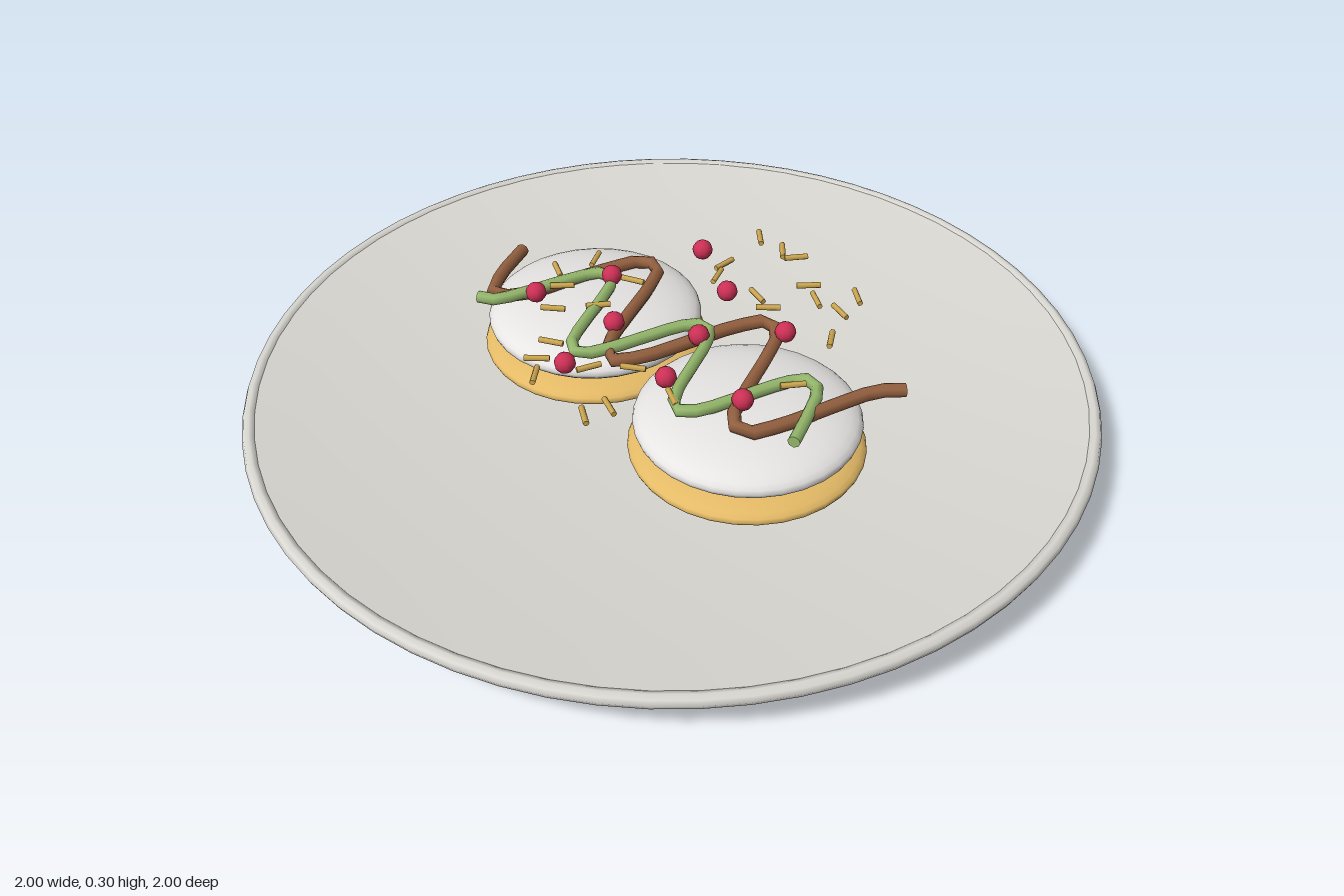
import * as THREE from 'three';

const mat = (name, color) => {
  const m = new THREE.MeshStandardMaterial({ color });
  m.name = name;
  return m;
};

export function createModel() {
  const group = new THREE.Group();
  const stoneware = mat('stoneware', 0xdad8d2);
  const biscuit = mat('biscuit', 0xe4ba66);
  const cream = mat('cream', 0xeceae8);
  const chocolate = mat('chocolate', 0x946040);
  const pistachio = mat('pistachio', 0x95b86c);
  const berry = mat('berry', 0xcc3055);
  const crumb = mat('crumb', 0xcfa850);

  const add = (name, geometry, material, x = 0, y = 0, z = 0) => {
    const mesh = new THREE.Mesh(geometry, material);
    mesh.name = name;
    mesh.position.set(x, y, z);
    group.add(mesh);
    return mesh;
  };

  // Plate: flat foot, flared side, rounded rim and a shallow curved dish
  const turned = (name, profile) => add(name,
    new THREE.LatheGeometry(profile.map(([r, y]) => new THREE.Vector2(r, y)), 36), stoneware);
  turned('plateFoot', [[0, 0], [0.725, 0]]);
  turned('plateSide', [[0.725, 0], [0.745, 0.01], [0.996, 0.105]]);
  add('plateRim', new THREE.TorusGeometry(0.983, 0.017, 8, 64).rotateX(Math.PI / 2), stoneware, 0, 0.113, 0);
  const dish = [];
  for (let i = 0; i <= 8; i++) {
    const r = 0.985 * (1 - i / 8);
    dish.push([r, 0.06 + 0.068 * r * r]);
  }
  turned('plateDish', dish);

  // Two biscuits, each with a flattened cream dome
  const ball = new THREE.SphereGeometry(1, 32, 20);
  for (const [x, z] of [[-0.25, 0], [0.285, 0.065]]) {
    add('biscuitBase', ball, biscuit, x, 0.114, z).scale.set(0.27, 0.048, 0.27);
    add('creamDome', ball, cream, x, 0.184, z).scale.set(0.258, 0.06, 0.258);
  }

  // Wavy sauce drizzles with closed ends
  const drizzle = (name, material, x0, x1, y, radius, wave) => {
    const points = [];
    for (let i = 0; i <= 24; i++) {
      const x = THREE.MathUtils.lerp(x0, x1, i / 24);
      points.push(new THREE.Vector3(x, y, wave(x)));
    }
    const curve = new THREE.CatmullRomCurve3(points);
    add(name, new THREE.TubeGeometry(curve, 48, radius, 8), material);
    for (const t of [0, 1]) {
      const p = curve.getPointAt(t);
      const cap = add(name + 'End', new THREE.CircleGeometry(radius, 8), material, p.x, p.y, p.z);
      cap.lookAt(p.clone().addScaledVector(curve.getTangentAt(t), t ? 1 : -1));
    }
  };
  drizzle('chocolateDrizzle', chocolate, -0.5, 0.535, 0.25, 0.016,
    x => 0.178 * Math.sin((x + 0.5) / 1.035 * 5.5 * Math.PI));
  drizzle('pistachioDrizzle', pistachio, -0.425, 0.465, 0.257, 0.0145,
    x => 0.08 + 0.14 * Math.cos((x + 0.415) / 0.313 * 2 * Math.PI));

  // Berries scattered over the top: x, z
  const berryGeometry = new THREE.SphereGeometry(0.025, 10, 8);
  const berries = [[-0.145, -0.275], [0.015, -0.18], [0.22, -0.145], [-0.235, -0.045], [0.08, -0.003],
    [-0.32, 0.127], [-0.1, 0.09], [0.128, 0.163], [0.305, 0.11], [-0.075, 0.275]];
  for (const [x, z] of berries) add('berry', berryGeometry, berry, x, 0.272, z);

  // Crumb sticks: x, z, heading in degrees seen from above
  const stick = new THREE.CylinderGeometry(0.007, 0.007, 0.058, 6).rotateZ(Math.PI / 2);
  const crumbs = [
    [-0.08, -0.42, -45], [0, -0.41, -50], [0.043, -0.41, 50], [0.14, -0.335, 45], [0.19, -0.3, -35],
    [0.255, -0.375, -40], [0.26, -0.3, -20], [-0.07, -0.27, 85], [-0.05, -0.22, -70], [0.075, -0.22, -20],
    [0.125, -0.2, 40], [0.31, -0.2, -60], [-0.14, 0.3, 40], [-0.1, 0.345, -55], [-0.03, 0.245, 65],
    [0.045, 0.18, 30], [0.1, 0.315, -25], [0.08, 0.373, -35], [-0.16, 0.235, 25], [-0.32, -0.075, -65],
    [-0.355, 0.02, -30], [-0.3, 0.06, 45], [-0.19, -0.07, 20], [-0.18, 0.06, 50], [-0.25, 0.14, 35],
    [0.35, -0.01, 50], [0.18, 0.2, -30]
  ];
  for (const [x, z, deg] of crumbs) {
    add('crumbStick', stick, crumb, x, 0.266, z).rotation.y = THREE.MathUtils.degToRad(deg);
  }
  return group;
}
